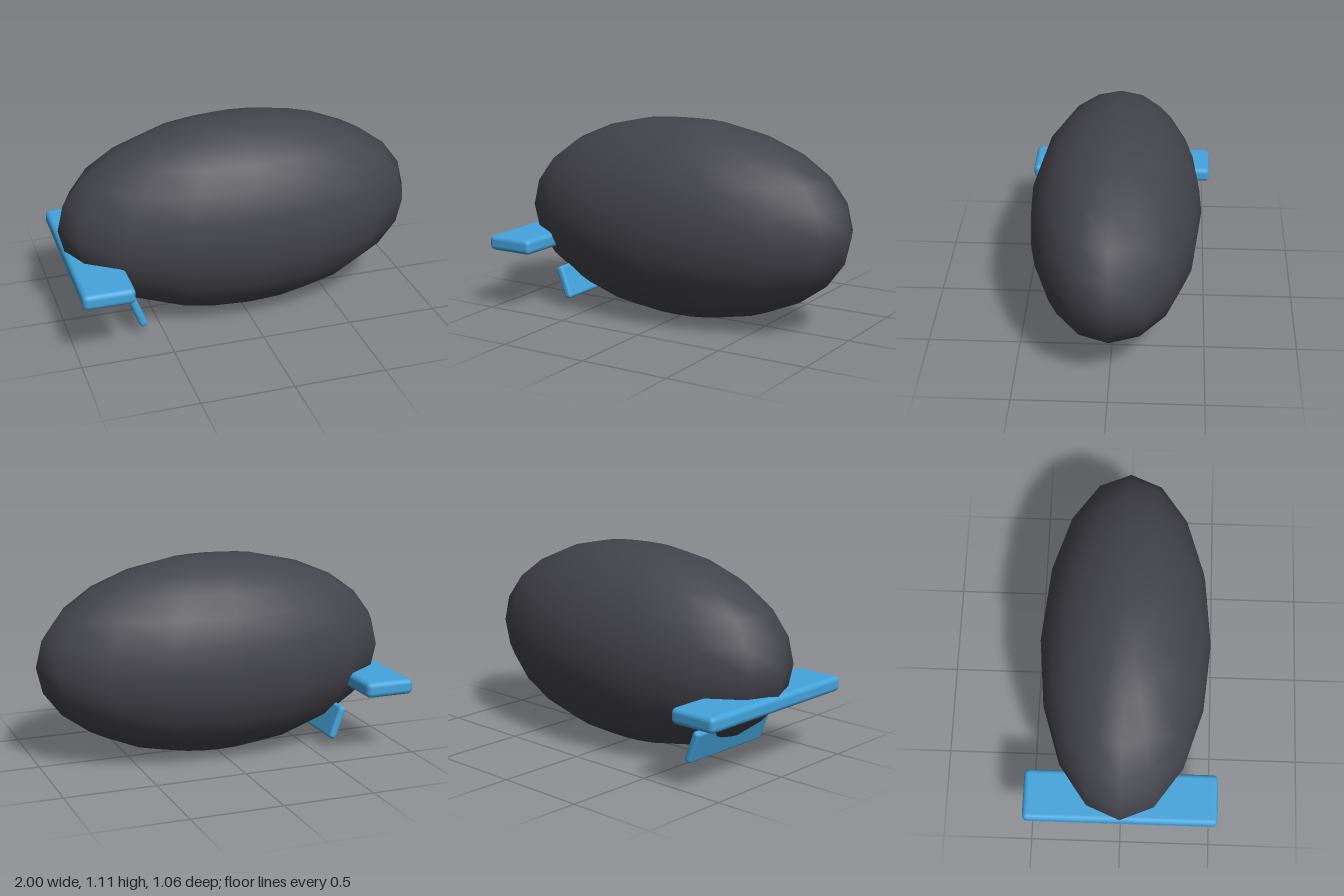
import * as THREE from 'three';
import { RoundedBoxGeometry } from 'three/addons/geometries/RoundedBoxGeometry.js';

export function createModel() {
  const group = new THREE.Group();
  const dark = new THREE.MeshStandardMaterial({ color: 0x44444c });
  const blue = new THREE.MeshStandardMaterial({ color: 0x44a4dc });

  const add = (name, geometry, material, x, y, tilt = 0) => {
    const mesh = new THREE.Mesh(geometry, material);
    mesh.name = name;
    mesh.position.set(x, y, 0);
    mesh.rotation.z = tilt;
    group.add(mesh);
  };

  // Egg-shaped body: a coarse, smoothly shaded sphere stretched along x
  add('body', new THREE.SphereGeometry(1, 16, 12).scale(1, 0.553, 0.472), dark, 0, 0.557);

  // Wide flat plate crossing one end of the body
  add('crossPlate', new RoundedBoxGeometry(0.28, 0.086, 1.06, 2, 0.028), blue, -0.84, 0.392);

  // Short slanted slat below the plate
  add('lowerSlat', new RoundedBoxGeometry(0.044, 0.19, 0.6, 2, 0.018), blue, -0.64, 0.152, 0.36);

  return group;
}
